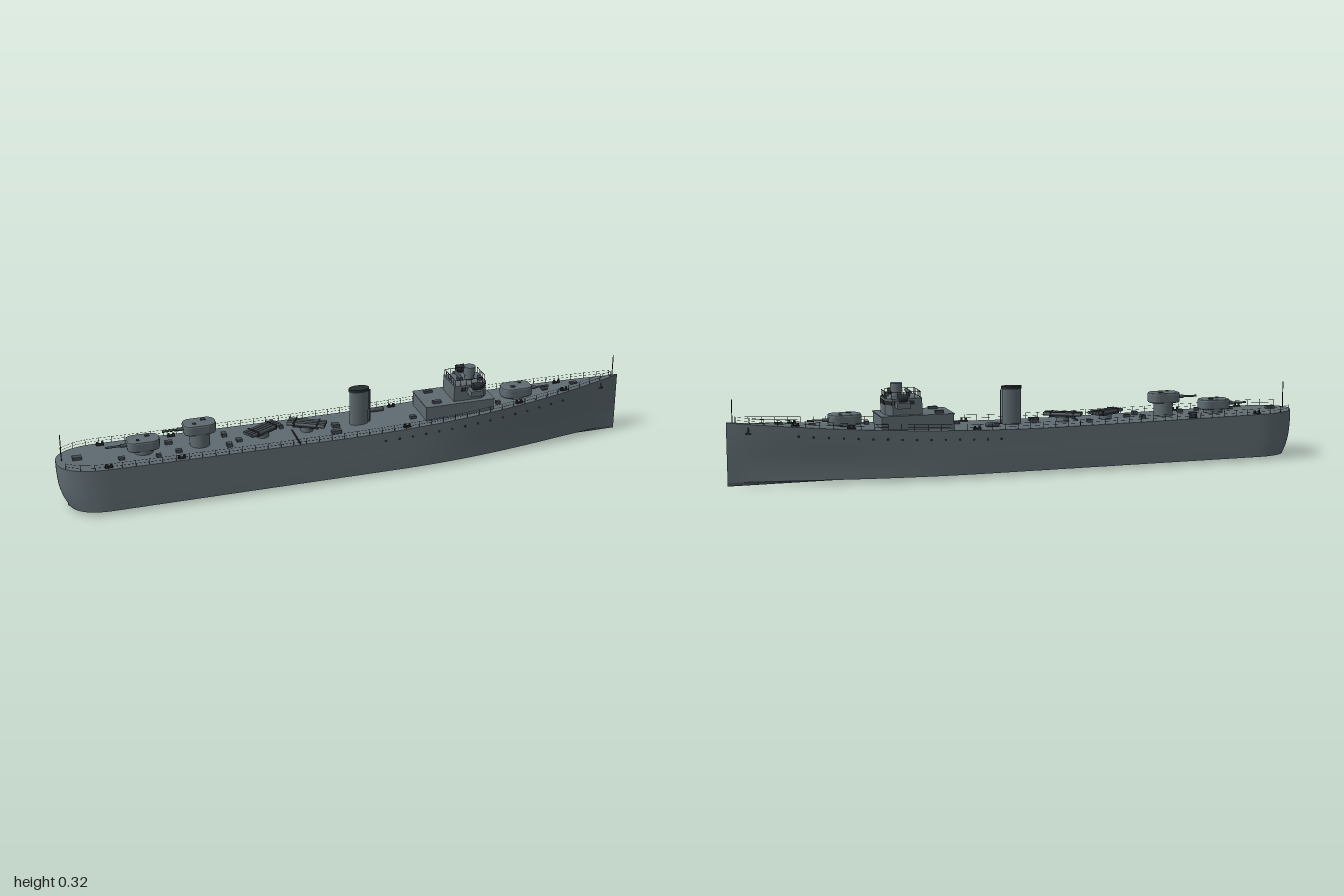
import * as THREE from 'three';

const mat = (name, color, side = THREE.FrontSide) => {
  const m = new THREE.MeshStandardMaterial({ color, side });
  m.name = name;
  return m;
};

export function createModel() {
  const ship = new THREE.Group();
  ship.name = 'warship';
  const grey = mat('navalGrey', 0x5f6b71);
  const dark = mat('darkFittings', 0x262b2e);
  const steel = mat('gunSteel', 0x434c51);

  const add = (name, geo, m, x = 0, y = 0, z = 0, parent = ship) => {
    const mesh = new THREE.Mesh(geo, m);
    mesh.name = name;
    mesh.position.set(x, y, z);
    parent.add(mesh);
    return mesh;
  };
  // box and upright cylinder placed by the height of their base
  const box = (name, m, x, y, z, l, h, w, parent) =>
    add(name, new THREE.BoxGeometry(l, h, w), m, x, y + h / 2, z, parent);
  const post = (name, m, x, y, z, r, h, parent, n = 16, rTop = r) =>
    add(name, new THREE.CylinderGeometry(rTop, r, h, n), m, x, y + h / 2, z, parent);
  // cylinder lying along x
  const rod = (name, m, x, y, z, r, l, parent, n = 12) => {
    const mesh = add(name, new THREE.CylinderGeometry(r, r, l, n), m, x, y, z, parent);
    mesh.rotation.z = Math.PI / 2;
    return mesh;
  };

  // hull lines: half beam at deck, half beam at bilge and sheer height
  const bowT = (x) => Math.max(0, (x - 0.15) / 0.85);
  const sternT = (x) => Math.max(0, (-0.83 - x) / 0.17);
  const sternF = (x) => Math.pow(Math.max(0, 1 - Math.pow(sternT(x), 2.5)), 1 / 2.3);
  const beam = (x) => 0.101 * (1 - Math.pow(bowT(x), 2.2)) * sternF(x);
  const bilge = (x) => 0.103 * Math.pow(Math.max(0, 1 - Math.pow(bowT(x), 2)), 1.4) * sternF(x);
  const sheer = (x) => 0.156 + 0.054 * Math.pow(Math.max(0, (x + 0.05) / 1.05), 1.7)
    + 0.009 * Math.pow(Math.max(0, -x), 1.5);

  const xs = [];
  for (let i = 0; i <= 16; i++) xs.push(-0.83 - 0.17 * Math.cos((i / 16) * Math.PI / 2));
  for (let i = 1; i <= 50; i++) xs.push(-0.83 + 1.83 * (i / 50));

  const loft = (profile) => {
    const pos = [], idx = [];
    let n = 0;
    xs.forEach((x) => { const p = profile(x); n = p.length; p.forEach((q) => pos.push(...q)); });
    for (let i = 0; i < xs.length - 1; i++) {
      for (let j = 0; j < n - 1; j++) {
        const a = i * n + j, d = a + n;
        idx.push(a, a + 1, d + 1, a, d + 1, d);
      }
    }
    const g = new THREE.BufferGeometry();
    g.setAttribute('position', new THREE.Float32BufferAttribute(pos, 3));
    g.setIndex(idx);
    g.computeVertexNormals();
    return g;
  };
  const low = (x, k) => x + 0.03 * k * sternT(x);
  const sidePoints = (x, s) => [0, 0.25, 0.5, 0.65, 0.8, 1].map((t) => [
    low(x, t * t * t),
    THREE.MathUtils.lerp(sheer(x), 0.012, t),
    s * THREE.MathUtils.lerp(beam(x), bilge(x), THREE.MathUtils.smoothstep(t, 0, 0.8)),
  ]);
  add('hullSideLeft', loft((x) => sidePoints(x, 1)), grey);
  add('hullSideRight', loft((x) => sidePoints(x, -1).reverse()), grey);
  add('hullBottom', loft((x) => [[low(x, 1), 0.012, bilge(x)], [low(x, 1), 0, 0], [low(x, 1), 0.012, -bilge(x)]]), grey);
  add('deck', loft((x) => [[x, sheer(x), -beam(x)], [x, sheer(x) + 0.002, 0], [x, sheer(x), beam(x)]]), grey);

  // guard rails and stanchions along both deck edges
  for (const s of [1, -1]) {
    for (const h of [0.01, 0.02]) {
      const pts = [];
      for (let i = 0; i <= 48; i++) {
        const x = -0.975 + 1.945 * (i / 48);
        pts.push(new THREE.Vector3(x, sheer(x) + h, s * (beam(x) - 0.002)));
      }
      add('guardRail', new THREE.TubeGeometry(new THREE.CatmullRomCurve3(pts), 96, 0.0005, 3), dark);
    }
    for (let i = 0; i <= 44; i++) {
      const x = -0.975 + 1.945 * (i / 44);
      box('stanchion', dark, x, sheer(x), s * (beam(x) - 0.002), 0.0014, 0.021, 0.0014);
    }
    // portholes, bollards and anchor
    for (let i = 0; i < 15; i++) {
      const x = 0.1 + i * 0.048, y = sheer(x) - 0.031;
      const t = (sheer(x) - y) / (sheer(x) - 0.012);
      const z = THREE.MathUtils.lerp(beam(x), bilge(x), THREE.MathUtils.smoothstep(t, 0, 0.8));
      const p = add('porthole', new THREE.CylinderGeometry(0.004, 0.004, 0.004, 10), dark, x, y, s * z);
      p.rotation.x = Math.PI / 2;
    }
    for (const x of [-0.84, -0.6, 0.18, 0.6, 0.78]) {
      const z = s * (beam(x) - 0.016);
      box('bollardBase', dark, x, sheer(x), z, 0.026, 0.004, 0.011);
      for (const d of [-0.008, 0.008]) post('bollard', dark, x + d, sheer(x), z, 0.004, 0.012, ship, 8);
    }
    box('anchorShank', dark, 0.93, 0.172, s * 0.015, 0.005, 0.02, 0.006);
    box('anchorFlukes', dark, 0.93, 0.17, s * 0.015, 0.018, 0.006, 0.006);
  }
  post('ensignStaff', dark, -0.98, 0.163, 0, 0.0016, 0.097, ship, 6);
  post('jackStaff', dark, 0.98, 0.205, 0, 0.0016, 0.08, ship, 6);

  // gun mounts with rounded shields
  const plan = new THREE.Shape();
  plan.moveTo(0.05, -0.016);
  plan.lineTo(0.05, 0.016);
  plan.quadraticCurveTo(0.046, 0.03, 0.025, 0.03);
  plan.lineTo(-0.025, 0.03);
  plan.quadraticCurveTo(-0.05, 0.028, -0.05, 0);
  plan.quadraticCurveTo(-0.05, -0.028, -0.025, -0.03);
  plan.lineTo(0.025, -0.03);
  plan.quadraticCurveTo(0.046, -0.03, 0.05, -0.016);
  const shield = new THREE.ExtrudeGeometry(plan, {
    depth: 0.024, bevelThickness: 0.006, bevelSize: 0.005, bevelSegments: 2, curveSegments: 6 });
  shield.rotateX(-Math.PI / 2);
  const gun = (x, base, dir) => {
    const g = new THREE.Group();
    g.name = 'gunMount';
    g.position.set(x, base, 0);
    g.rotation.y = dir > 0 ? 0 : Math.PI;
    ship.add(g);
    add('gunShield', shield, grey, 0, 0.007, 0, g);
    const ped = sheer(x) - base;
    post('pedestal', grey, 0, ped, 0, 0.034, 0.004 - ped, g, 24);
    rod('barrel', steel, 0.085, 0.018, 0, 0.0035, 0.08, g);
    rod('barrelSleeve', steel, 0.06, 0.018, 0, 0.006, 0.03, g);
    box('roofHatch', steel, -0.015, 0.036, 0.012, 0.016, 0.004, 0.012, g);
    box('sight', steel, 0.02, 0.036, -0.014, 0.01, 0.004, 0.008, g);
  };
  gun(-0.71, 0.174, -1);
  gun(-0.52, 0.206, -1);
  gun(0.61, 0.185, 1);

  // trained torpedo mounts
  for (const [x, turn] of [[-0.305, 0.5], [-0.15, -0.5]]) {
    const g = new THREE.Group();
    g.name = 'torpedoMount';
    g.position.set(x, sheer(x), 0);
    g.rotation.y = turn;
    ship.add(g);
    post('turntable', grey, 0, 0, 0, 0.022, 0.02, g, 20);
    box('cradle', steel, 0, 0.018, 0, 0.09, 0.004, 0.046, g);
    for (let i = 0; i < 4; i++) rod('torpedoTube', steel, 0, 0.028, (i - 1.5) * 0.0125, 0.006, 0.13, g);
    for (const d of [-0.04, 0.04]) box('tubeBand', dark, d, 0.021, 0, 0.005, 0.0145, 0.052, g);
  }

  // oval funnel with dark cap
  const funnel = post('funnel', grey, 0.035, 0.153, 0, 0.033, 0.13, ship, 32);
  funnel.scale.z = 0.58;
  post('funnelCap', dark, 0.035, 0.279, 0, 0.036, 0.01, ship, 32).scale.z = 0.6;
  post('steamPipe', steel, 0.073, 0.153, 0, 0.003, 0.125, ship, 8);

  // deckhouse and bridge
  box('deckhouse', grey, 0.378, 0.15, 0, 0.245, 0.064, 0.138);
  box('deckhouseRoof', grey, 0.378, 0.213, 0, 0.25, 0.003, 0.144);
  const bridgePlan = new THREE.Shape();
  bridgePlan.moveTo(-0.06, -0.054);
  bridgePlan.lineTo(0.04, -0.054);
  bridgePlan.lineTo(0.062, -0.036);
  bridgePlan.lineTo(0.062, 0.036);
  bridgePlan.lineTo(0.04, 0.054);
  bridgePlan.lineTo(-0.06, 0.054);
  const bridge = new THREE.ExtrudeGeometry(bridgePlan, { depth: 0.056, bevelEnabled: false });
  bridge.rotateX(-Math.PI / 2);
  add('bridge', bridge, grey, 0.42, 0.215, 0);
  for (let i = 0; i < 4; i++) box('bridgeWindow', dark, 0.482, 0.25, (i - 1.5) * 0.0175, 0.003, 0.013, 0.014);
  for (const s of [1, -1]) {
    const slant = box('bridgeWindow', dark, 0.471, 0.25, s * 0.045, 0.003, 0.013, 0.022);
    slant.rotation.y = -s * Math.atan2(0.022, 0.018);
    for (let i = 0; i < 3; i++) box('sideWindow', dark, 0.395 + i * 0.026, 0.25, s * 0.054, 0.016, 0.013, 0.003);
    // wings with signal lamps
    box('bridgeWing', grey, 0.43, 0.242, s * 0.073, 0.045, 0.02, 0.038);
    post('lampPost', steel, 0.43, 0.26, s * 0.08, 0.004, 0.01, ship, 8);
    rod('signalLamp', dark, 0.43, 0.276, s * 0.08, 0.013, 0.026, ship, 16);
    rod('lampRim', steel, 0.444, 0.276, s * 0.08, 0.014, 0.003, ship, 16);
    // bridge roof rail
    for (let i = 0; i < 6; i++) box('bridgeRailPost', dark, 0.364 + i * 0.02, 0.27, s * 0.051, 0.0015, 0.022, 0.0015);
    box('bridgeRailSide', dark, 0.414, 0.291, s * 0.051, 0.1, 0.0015, 0.0015);
    box('deckhouseLocker', steel, 0.3, 0.215, s * 0.045, 0.03, 0.01, 0.014);
  }
  for (const x of [0.364, 0.478]) {
    box('bridgeRailEnd', dark, x, 0.291, 0, 0.0015, 0.0015, x < 0.4 ? 0.102 : 0.072);
    for (let i = 0; i < 5; i++) box('bridgeRailPost', dark, x, 0.27, (i - 2) * 0.0175, 0.0015, 0.022, 0.0015);
  }
  // gun director on the bridge roof
  post('directorBase', grey, 0.435, 0.27, 0, 0.016, 0.02, ship, 20);
  post('director', grey, 0.435, 0.287, 0, 0.02, 0.03, ship, 20);
  const finder = rod('rangefinder', steel, 0.395, 0.287, 0, 0.006, 0.06);
  finder.rotation.set(Math.PI / 2, 0, 0);
  post('rangefinderStand', steel, 0.395, 0.27, 0, 0.006, 0.017, ship, 10);
  box('chartTable', steel, 0.465, 0.27, 0.02, 0.012, 0.014, 0.016);

  // loose deck fittings: [x, z, length, height, width]
  [[-0.93, 0, 0.03, 0.012, 0.02], [-0.79, 0.04, 0.02, 0.01, 0.014], [-0.67, 0.055, 0.016, 0.012, 0.012],
    [-0.62, -0.03, 0.025, 0.012, 0.016], [-0.6, 0.04, 0.02, 0.012, 0.014], [-0.43, 0.045, 0.018, 0.014, 0.018],
    [-0.43, -0.035, 0.016, 0.014, 0.02], [-0.39, 0.015, 0.02, 0.01, 0.02], [-0.23, -0.04, 0.014, 0.012, 0.014],
    [-0.06, 0.05, 0.035, 0.012, 0.016], [-0.05, 0.005, 0.025, 0.014, 0.02], [0.22, 0.03, 0.02, 0.012, 0.014],
    [0.53, 0.035, 0.016, 0.012, 0.012], [0.72, 0, 0.02, 0.008, 0.016], [0.83, 0, 0.025, 0.008, 0.014],
  ].forEach(([x, z, l, h, w]) => box('deckLocker', steel, x, sheer(x), z, l, h, w));
  box('deckBarrier', dark, -0.2, sheer(-0.2), 0.045, 0.003, 0.007, 0.105);
  const raft = add('lifeRaft', new THREE.CapsuleGeometry(0.008, 0.035, 4, 10), steel, 0.12, 0.17, -0.06);
  raft.rotation.z = Math.PI / 2;
  return ship;
}
